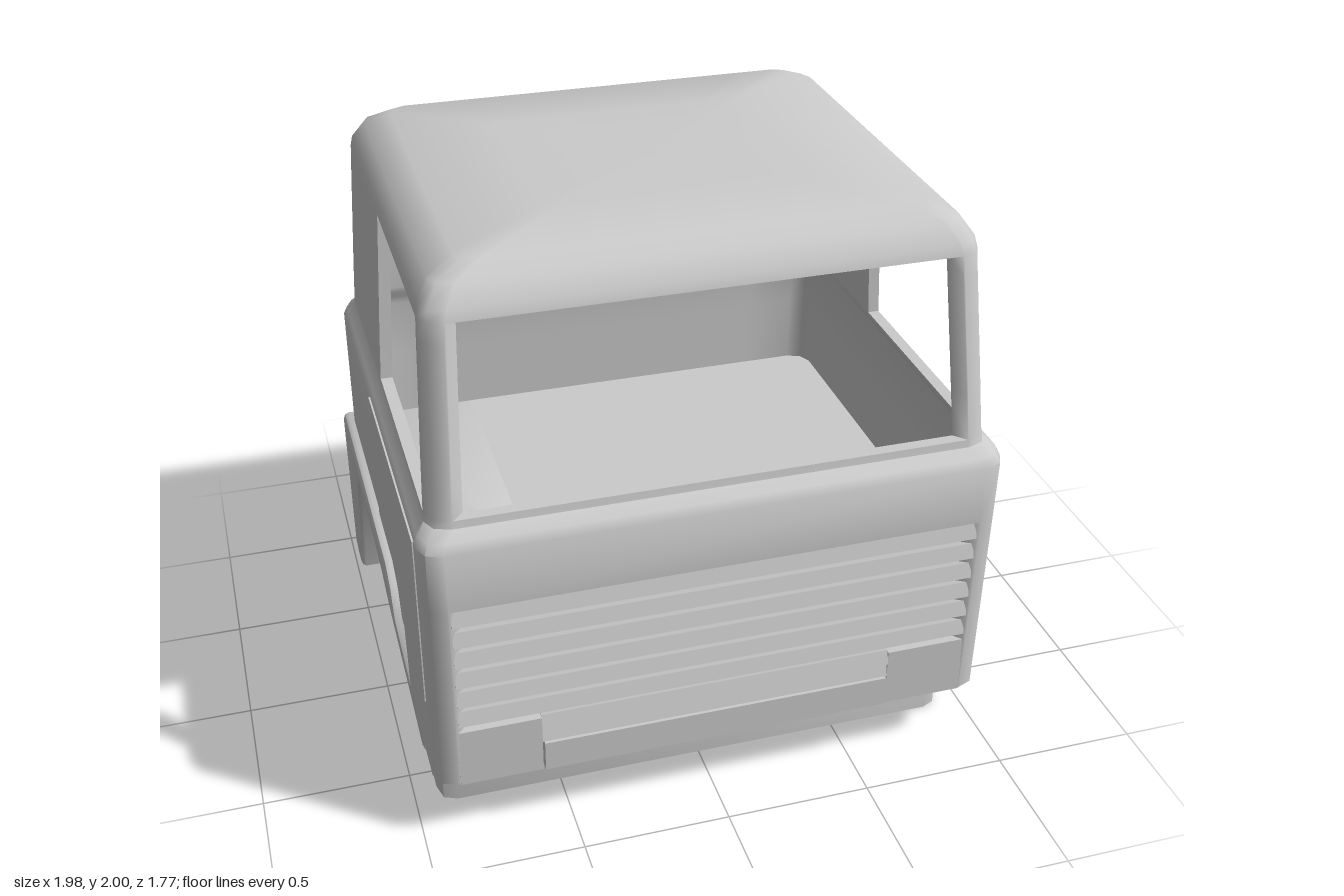
import * as THREE from 'three';
import { toCreasedNormals } from 'three/addons/utils/BufferGeometryUtils.js';

const material = new THREE.MeshStandardMaterial({ color: 0xcccccc });

// Heights of the cab shell: [y, half width, front z, back z, z of the rear side column]
const LEVELS = [
  [0.25, 0.955, 0.865, -0.86, 0.31],
  [0.69, 0.955, 0.877, -0.855, 0.31],
  [0.955, 0.955, 0.885, -0.848, -0.1],
  [1.165, 0.955, 0.89, -0.842, -0.1],
  [1.195, 0.942, 0.87, -0.835, -0.1],
  [1.215, 0.915, 0.825, -0.825, -0.1],
  [1.24, 0.912, 0.82, -0.82, -0.1],
  [1.39, 0.904, 0.795, -0.812, -0.1],
  [1.78, 0.881, 0.73, -0.79, -0.09],
  [1.845, 0.877, 0.72, -0.786, -0.09],
  [1.88, 0.87, 0.708, -0.78, -0.09],
  [1.94, 0.83, 0.66, -0.745, -0.09],
  [1.978, 0.74, 0.595, -0.7, -0.08],
  [1.995, 0.42, 0.34, -0.4, -0.05],
  [2.0, 0, 0, 0, 0],
];

// One horizontal ring of 20 points, from the front round the +x side and back
function ring([y, w, zf, zb, sr], inset) {
  const t = w > 0 ? inset : 0;
  const h = y > 1.9 ? y - inset : y;
  w -= t; zf -= t; zb += t;
  const c = 0.08;
  const half = [
    [0.915 * w, zf], [(1 - c) * w, zf], [(1 - 0.3 * c) * w, (1 - 0.3 * c) * zf], [w, (1 - c) * zf],
    [w, 0.9 * zf], [w, sr],
    [w, (1 - c) * zb], [(1 - 0.3 * c) * w, (1 - 0.3 * c) * zb], [(1 - c) * w, zb], [0.73 * w, zb],
  ];
  const other = half.slice().reverse().map(([x, z]) => [-x, z]);
  return [...half, ...other].map(([x, z]) => [x, h, z]);
}

// Which cells of the shell are metal rather than opening
function isSolid(i, j) {
  if (j < 0 || j >= LEVELS.length - 1) return false;
  const front = i === 19, back = i === 9, side = i === 4 || i === 14;
  if (j === 0 && i >= 5 && i <= 13) return false;    // open above the wheels
  if (front && j < 2) return false;                  // grille opening
  if ((front || side) && j >= 6 && j <= 8) return false; // windscreen and door windows
  if (back && j === 7) return false;                 // rear window
  return true;
}

function cabShell() {
  const outer = LEVELS.map((l) => ring(l, 0));
  const inner = LEVELS.map((l) => ring(l, 0.04));
  const pos = [];
  const quad = (a, b, c, d) => pos.push(...a, ...b, ...c, ...a, ...c, ...d);
  for (let j = 0; j < LEVELS.length - 1; j++) {
    for (let i = 0; i < 20; i++) {
      if (!isSolid(i, j)) continue;
      const n = (i + 1) % 20;
      const corners = (r) => [r[j][i], r[j][n], r[j + 1][n], r[j + 1][i]];
      const o = corners(outer), p = corners(inner);
      quad(o[0], o[1], o[2], o[3]);
      quad(p[3], p[2], p[1], p[0]);
      // Rims joining the outer and inner skins
      const next = [[i, j - 1], [n, j], [i, j + 1], [(i + 19) % 20, j]];
      next.forEach(([a, b], k) => {
        const m = (k + 1) % 4;
        if (b < LEVELS.length - 1 && !isSolid(a, b)) quad(o[m], o[k], p[k], p[m]);
      });
    }
  }
  const geo = new THREE.BufferGeometry();
  geo.setAttribute('position', new THREE.Float32BufferAttribute(pos, 3));
  return toCreasedNormals(geo, 0.9);
}

// Side profile given as [z, y], extruded along x from x0 to x1
function sideExtrude(points, x0, x1, bevel = 0) {
  const shape = new THREE.Shape(points.map(([z, y]) => new THREE.Vector2(-z, y)));
  const geo = new THREE.ExtrudeGeometry(shape, {
    depth: x1 - x0 - 2 * bevel, bevelEnabled: bevel > 0, bevelThickness: bevel,
    bevelSize: bevel, bevelOffset: -bevel, bevelSegments: 2,
  });
  geo.rotateY(Math.PI / 2);
  geo.translate(x0 + bevel, 0, 0);
  return geo;
}

export function createModel() {
  const model = new THREE.Group();
  const add = (name, geo, parent = model) => {
    const mesh = new THREE.Mesh(geo, material);
    mesh.name = name;
    parent.add(mesh);
    return mesh;
  };
  const box = (name, x0, x1, y0, y1, z0, z1, parent) => {
    const mesh = add(name, new THREE.BoxGeometry(x1 - x0, y1 - y0, z1 - z0), parent);
    mesh.position.set((x0 + x1) / 2, (y0 + y1) / 2, (z0 + z1) / 2);
    return mesh;
  };

  add('cabShell', cabShell());

  // Floors
  box('frontFloor', -0.93, 0.93, 0.25, 0.275, 0.31, 0.84);
  box('floorRiser', -0.93, 0.93, 0.25, 0.69, 0.31, 0.335);
  box('rearFloor', -0.94, 0.94, 0.665, 0.69, -0.84, 0.335);

  // Chamfered step block under the front
  const step = new THREE.Shape([
    [-0.92, -0.33], [-0.92, -0.58], [-0.905, -0.64], [-0.86, -0.66],
    [0.86, -0.66], [0.905, -0.64], [0.92, -0.58], [0.92, -0.33],
  ].map(([x, y]) => new THREE.Vector2(x, y)));
  const stepGeo = new THREE.ExtrudeGeometry(step, { depth: 0.25, bevelEnabled: false });
  stepGeo.rotateX(-Math.PI / 2);
  add('lowerStep', toCreasedNormals(stepGeo, 0.9));

  // Grille
  const grille = new THREE.Group();
  grille.name = 'grille';
  model.add(grille);
  const faceZ = (y) => 0.865 + 0.027 * (y - 0.25) / 0.92;
  box('grilleBack', -0.88, 0.88, 0.25, 0.965, 0.8, 0.835, grille);
  const slat = (y, halfWidth) => {
    const mesh = box('grilleSlat', -halfWidth, halfWidth, y - 0.027, y + 0.027, faceZ(y) - 0.04, faceZ(y) - 0.005, grille);
    mesh.rotation.x = -0.25;
  };
  for (let k = 0; k < 6; k++) slat(0.915 - 0.08 * k, 0.87);
  slat(0.44, 0.6);
  slat(0.39, 0.6);
  box('lowerBumper', -0.595, 0.595, 0.255, 0.365, 0.82, 0.878, grille);
  for (const s of [-1, 1]) {
    const mid = s * 0.737;
    box('cornerPanel', mid - 0.137, mid + 0.137, 0.25, 0.465, 0.81, 0.868, grille);
  }

  // Doors, wheel arches and wheel well walls on both sides
  const door = [[0.79, 1.17], [0.785, 0.55], [0.33, 0.55], [0.28, 0.64], [0.19, 0.69], [-0.11, 0.69], [-0.11, 1.17]];
  const arch = [
    [0.4, 0], [0.385, 0.24], [0.335, 0.55], [0.28, 0.645], [0.19, 0.69], [-0.855, 0.69], [-0.88, 0.67],
    [-0.88, 0.07], [-0.8, 0.05], [-0.715, 0.05],
    [-0.62, 0.47], [-0.56, 0.545], [-0.48, 0.585], [-0.19, 0.6], [0.1, 0.575], [0.18, 0.55], [0.235, 0.48],
    [0.31, 0.24], [0.33, 0],
  ];
  const well = [[0.32, 0.24], [0.32, 0.675], [-0.86, 0.675], [-0.86, 0.05], [-0.71, 0.05], [-0.47, 0.24]];
  for (const [side, s] of [['left', 1], ['right', -1]]) {
    const span = (points, a, b, bevel) => (s > 0 ? sideExtrude(points, a, b, bevel) : sideExtrude(points, -b, -a, bevel));
    add(side + 'Door', span(door, 0.93, 0.959));
    const geo = span(arch, 0.47, 0.99, 0.02);
    // The front leg leans inwards towards its foot
    const p = geo.attributes.position;
    for (let i = 0; i < p.count; i++) {
      if (p.getZ(i) > 0.2 && Math.abs(p.getX(i)) > 0.8) {
        p.setX(i, p.getX(i) - s * 0.06 * Math.max(0, 1 - p.getY(i) / 0.55));
      }
    }
    add(side + 'WheelArch', toCreasedNormals(geo, 0.7));
    add(side + 'WheelWellWall', span(well, 0.47, 0.495));
  }
  return model;
}
